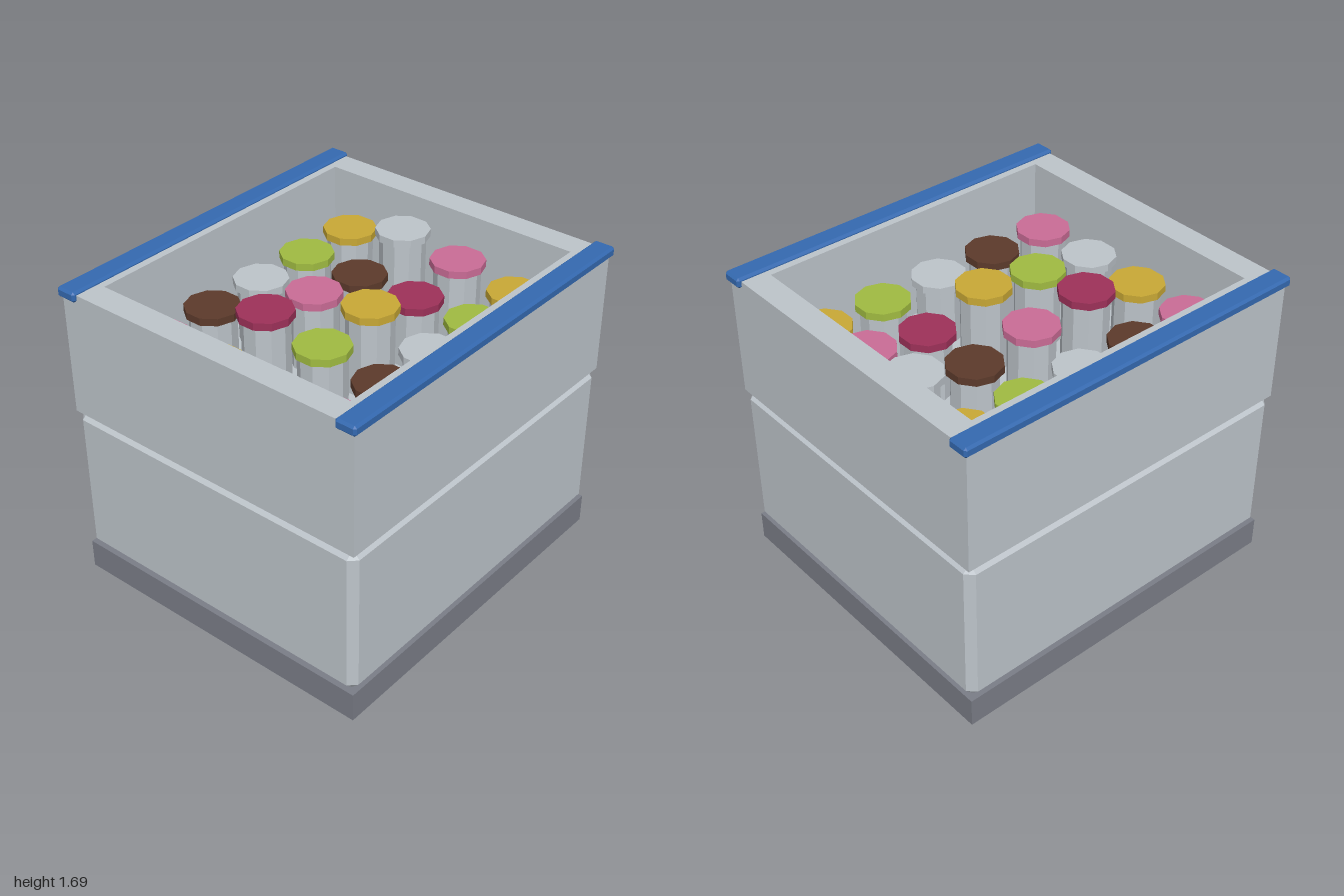
import * as THREE from 'three';
import { ConvexGeometry } from 'three/addons/geometries/ConvexGeometry.js';

const material = (name, color) => {
  const m = new THREE.MeshStandardMaterial({ color, flatShading: true });
  m.name = name;
  return m;
};

// Box with every edge cut at 45 degrees, centred on the origin
function chamferedBox(w, h, d, c) {
  const points = [];
  for (const sx of [-1, 1]) for (const sy of [-1, 1]) for (const sz of [-1, 1]) {
    const x = w / 2, y = h / 2, z = d / 2;
    points.push(
      new THREE.Vector3(sx * x, sy * (y - c), sz * (z - c)),
      new THREE.Vector3(sx * (x - c), sy * y, sz * (z - c)),
      new THREE.Vector3(sx * (x - c), sy * (y - c), sz * z));
  }
  return new ConvexGeometry(points);
}

function rectangle(PathType, w, d) {
  return new PathType([[-1, -1], [1, -1], [1, 1], [-1, 1]]
    .map(([x, y]) => new THREE.Vector2(x * w / 2, y * d / 2)));
}

export function createModel() {
  const model = new THREE.Group();
  model.name = 'jarCrate';

  const grey = material('lightGrey', 0xbdc4ca);
  const base = material('slateGrey', 0x7a7d87);
  const blue = material('blue', 0x3469b0);
  const caps = {
    P: material('pink', 0xca6c96),
    B: material('brown', 0x5c3a2b),
    W: grey,
    G: material('green', 0xa0bb41),
    Y: material('yellow', 0xc8a835),
    M: material('maroon', 0x9d3159),
  };

  const add = (parent, name, geometry, mat, x, y, z) => {
    const mesh = new THREE.Mesh(geometry, mat);
    mesh.name = name;
    mesh.position.set(x, y, z);
    parent.add(mesh);
    return mesh;
  };

  const W = 1.96, D = 1.76;

  // Plinth and chamfered lower block
  add(model, 'plinth', new THREE.BoxGeometry(W, 0.16, D), base, 0, 0.08, 0);
  add(model, 'lowerBlock', chamferedBox(W, 0.825, D, 0.04), grey, 0, 0.5725, 0);

  // Open tray: four thick walls and a floor
  const trayBottom = 0.985, trayTop = 1.67, floorTop = 1.08;
  const wallShape = rectangle(THREE.Shape, W, D);
  wallShape.holes.push(rectangle(THREE.Path, 1.68, 1.49));
  const walls = new THREE.ExtrudeGeometry(wallShape, { depth: trayTop - trayBottom, bevelEnabled: false });
  walls.rotateX(-Math.PI / 2);
  add(model, 'trayWalls', walls, grey, 0, trayBottom, 0);
  add(model, 'trayFloor', new THREE.BoxGeometry(1.68, floorTop - trayBottom, 1.49), grey,
    0, (floorTop + trayBottom) / 2, 0);

  // Rails along the front and back rims
  const rail = chamferedBox(2, 0.055, 0.114, 0.012);
  for (const side of [1, -1]) {
    add(model, side > 0 ? 'frontRail' : 'backRail', rail, blue, 0, 1.66, side * 0.842);
  }

  // Rows of ten-sided jars, back to front, at three alternating heights
  const capHeight = 0.04, spacing = 0.353;
  const capGeometry = new THREE.CylinderGeometry(0.144, 0.144, capHeight, 10);
  ['PBWGY', 'YMPBW', 'WGYMP', 'PBWGY'].forEach((row, r) => {
    [...row].forEach((key, c) => {
      const jar = new THREE.Group();
      jar.name = 'jar';
      jar.position.set((c - 2) * spacing, floorTop, (r - 1.5) * spacing);
      const height = 1.435 + 0.055 * ((2 * r * c) % 3) - floorTop;
      const bodyHeight = height - capHeight;
      add(jar, 'jarBody', new THREE.CylinderGeometry(0.122, 0.122, bodyHeight, 10), grey, 0, bodyHeight / 2, 0);
      add(jar, 'jarCap', capGeometry, caps[key], 0, height - capHeight / 2, 0);
      model.add(jar);
    });
  });

  return model;
}
